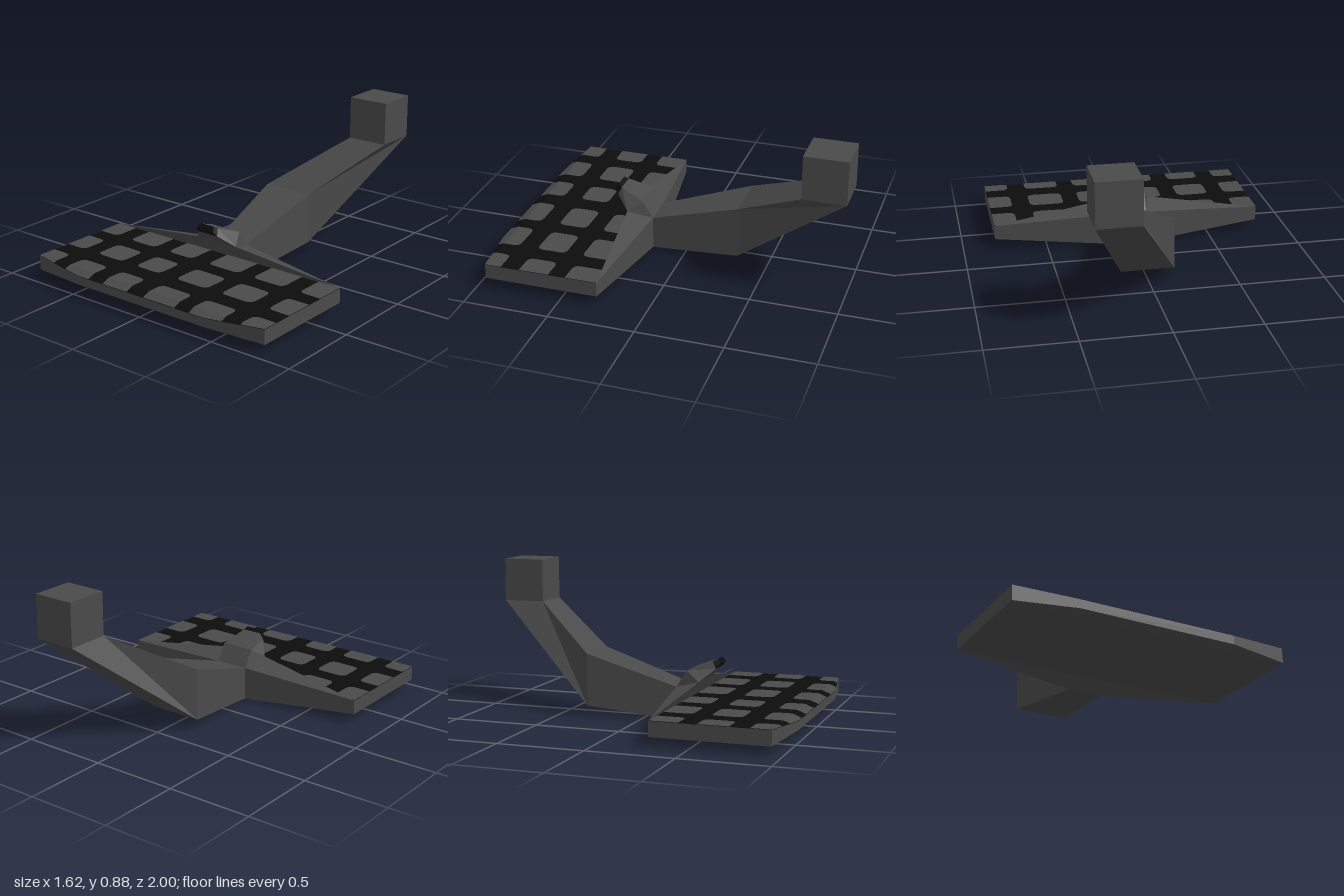
import * as THREE from 'three';

const grey = new THREE.MeshStandardMaterial({ color: 0x4a4a4a });
grey.name = 'dark grey metal';
const black = new THREE.MeshStandardMaterial({ color: 0x0c0c0c });
black.name = 'black rubber';

// Flat-sided mesh from a list of convex polygons (corners counter-clockwise)
function facets(name, material, polygons) {
  const pos = [];
  for (const p of polygons) {
    for (let i = 1; i < p.length - 1; i++) pos.push(...p[0], ...p[i], ...p[i + 1]);
  }
  const g = new THREE.BufferGeometry();
  g.setAttribute('position', new THREE.Float32BufferAttribute(pos, 3));
  g.computeVertexNormals();
  const mesh = new THREE.Mesh(g, material);
  mesh.name = name;
  return mesh;
}

// Four-cornered section, top edge then bottom edge: [half width, y, z], shifted by cx
const section = (top, bottom, cx = 0) => [
  [cx - top[0], top[1], top[2]], [cx + top[0], top[1], top[2]],
  [cx + bottom[0], bottom[1], bottom[2]], [cx - bottom[0], bottom[1], bottom[2]],
];

// Faces joining sections that run from front to back
function loft(sections, capFront, capBack) {
  const faces = [];
  for (let s = 0; s < sections.length - 1; s++) {
    const a = sections[s], b = sections[s + 1];
    for (let i = 0; i < 4; i++) {
      const j = (i + 1) % 4;
      faces.push([a[i], a[j], b[j], b[i]]);
    }
  }
  if (capFront) faces.push([...sections[0]].reverse());
  if (capBack) faces.push(sections[sections.length - 1]);
  return faces;
}

const mirror = (poly) => poly.map(([x, y, z]) => [-x, y, z]).reverse();
const withMirror = (polys) => [...polys, ...polys.map(mirror)];

// Main dimensions of the tread
const W = 0.81, NOSE = 0.46, BACK = 0.285, FRONT = 0.95, TOP = 0.145, LOW = 0.06;
const noseZ = (x) => 1 - 0.05 * Math.max(0, (Math.abs(x) - NOSE) / (W - NOSE));
const bevelY = (z) => TOP - 0.02 * (z - FRONT) / 0.05;

// Grey pad with rounded corners, kept square where it meets the tread's rim
function pad(x0, x1, z0, z1) {
  const s = new THREE.Shape();
  const tilt = (x) => 0.012 * x;
  const corners = [[x0, z1], [x1, z1], [x1, z0], [x0, z0]].map(([x, z]) => {
    const rim = z === BACK || z === FRONT;
    return { x, y: -(rim ? z : z + tilt(x)), r: rim || Math.abs(x) === W ? 0 : 0.04 };
  });
  corners.forEach((c, i) => {
    const toward = (o) => {
      const d = Math.hypot(o.x - c.x, o.y - c.y);
      return [c.x + (o.x - c.x) * c.r / d, c.y + (o.y - c.y) * c.r / d];
    };
    const from = toward(corners[(i + 3) % 4]);
    if (i === 0) s.moveTo(...from); else s.lineTo(...from);
    if (c.r) s.quadraticCurveTo(c.x, c.y, ...toward(corners[(i + 1) % 4]));
  });
  const mesh = new THREE.Mesh(new THREE.ShapeGeometry(s, 4).rotateX(-Math.PI / 2), grey);
  mesh.position.y = TOP + 0.003;
  mesh.name = 'treadPad';
  return mesh;
}

// Continuation of a front pad down the sloping front edge
function bevelPad(x0, x1) {
  const outline = [[x0, FRONT], [x0, noseZ(x0)]];
  for (const x of [-NOSE, NOSE]) if (x > x0 && x < x1) outline.push([x, 1]);
  outline.push([x1, noseZ(x1)], [x1, FRONT]);
  return facets('treadPadFront', grey, [outline.map(([x, z]) => [x, bevelY(z) + 0.003, z])]);
}

export function createModel() {
  const model = new THREE.Group();
  model.name = 'footPedal';

  // Tread: grey rim and underside, black top
  model.add(facets('treadBody', grey, [
    [[W, LOW, BACK], [W, LOW, FRONT], [-W, LOW, FRONT], [-W, LOW, BACK]],
    [[W, LOW, FRONT], [NOSE, 0.075, 1], [-NOSE, 0.075, 1], [-W, LOW, FRONT]],
    [[-NOSE, 0.075, 1], [NOSE, 0.075, 1], [NOSE, 0.125, 1], [-NOSE, 0.125, 1]],
    ...withMirror([
      [[NOSE, 0.075, 1], [W, LOW, FRONT], [W, TOP, FRONT], [NOSE, 0.125, 1]],
      [[W, LOW, FRONT], [W, LOW, BACK], [W, TOP, BACK], [W, TOP, FRONT]],
    ]),
  ]));
  model.add(facets('treadTop', black, [
    [[-W, TOP, BACK], [-W, TOP, FRONT], [W, TOP, FRONT], [W, TOP, BACK]],
    [[-W, TOP, FRONT], [-NOSE, 0.125, 1], [NOSE, 0.125, 1], [W, TOP, FRONT]],
  ]));

  // Grid of pads
  const pads = new THREE.Group();
  pads.name = 'treadPads';
  const columns = [[-W, -0.675], [-0.57, -0.375], [-0.27, -0.09], [0.03, 0.25], [0.35, 0.56], [0.67, W]];
  const rows = [[BACK, 0.46], [0.56, 0.735], [0.845, FRONT]];
  for (const [x0, x1] of columns) {
    for (const [z0, z1] of rows) pads.add(pad(x0, x1, z0, z1));
    pads.add(bevelPad(x0, x1));
  }
  model.add(pads);

  // Tapered brace behind the tread
  const tip = [W, TOP, BACK], tipLow = [W, LOW, BACK];
  const neck = [0.1, 0.2, 0.2], neckLow = [0.1, 0.005, 0.2], shoulder = [0.14, 0.24, 0.345];
  const flip = ([x, y, z]) => [-x, y, z];
  model.add(facets('brace', grey, [
    [flip(tip), tip, shoulder, flip(shoulder)],
    [tipLow, flip(tipLow), flip(neckLow), neckLow],
    ...withMirror([[tip, neck, shoulder], [tip, tipLow, neckLow, neck]]),
  ]));

  // Small toe hook with a black tip
  const hookEnd = section([0.06, 0.352, 0.405], [0.07, 0.311, 0.425]);
  model.add(facets('toeHook', grey, loft([
    hookEnd,
    section([0.1, 0.297, 0.262], shoulder),
    section(neck, shoulder),
  ], false, false)));
  model.add(facets('toeHookTip', black, loft([
    section([0.05, 0.366, 0.43], [0.058, 0.338, 0.447]),
    hookEnd,
  ], true, false)));

  // Cranked arm ending in a square upright block
  model.add(facets('arm', grey, loft([
    section(neck, neckLow),
    section([0.155, 0.37, -0.33], [0.155, 0.065, -0.33]),
    section([0.125, 0.625, -0.75], [0.125, 0.625, -1], 0.285),
    section([0.125, 0.88, -0.75], [0.125, 0.88, -1], 0.285),
  ], false, true)));

  return model;
}
